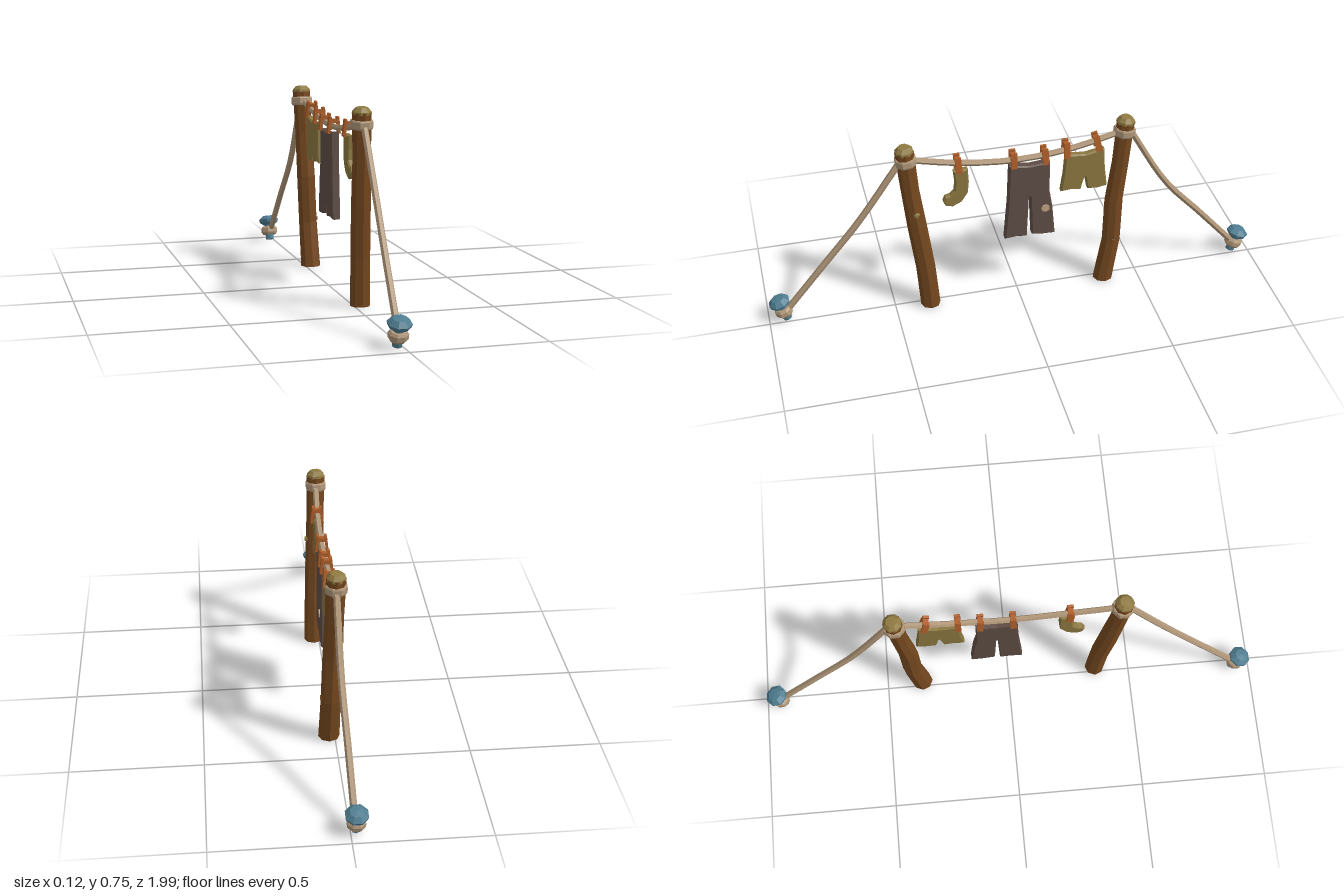
import * as THREE from 'three';

const mat = (name, color) => {
  const m = new THREE.MeshStandardMaterial({ color });
  m.name = name;
  return m;
};

export function createModel() {
  const wood = mat('brown wood', 0x75481f);
  const cutWood = mat('pale cut wood', 0x8f7a42);
  const ropeTan = mat('rope tan', 0xb2987a);
  const blue = mat('peg blue', 0x4f7d90);
  const cloth = mat('olive cloth', 0x8c7840);
  const darkCloth = mat('dark brown cloth', 0x5f4d45);
  const orange = mat('clothespin orange', 0xb05f2a);
  const patchTan = mat('patch tan', 0xc4a284);

  const model = new THREE.Group();
  model.name = 'clothesline';

  // Faceted mesh: every face gets its own normal
  const add = (parent, name, geometry, material) => {
    const g = geometry.index ? geometry.toNonIndexed() : geometry;
    g.computeVertexNormals();
    const mesh = new THREE.Mesh(g, material);
    mesh.name = name;
    parent.add(mesh);
    return mesh;
  };
  const lathe = (pts, sides = 8) =>
    new THREE.LatheGeometry(pts.map(([r, y]) => new THREE.Vector2(r, y)), sides, Math.PI / 8);
  const curve = (pts) => new THREE.CatmullRomCurve3(pts.map((p) => new THREE.Vector3(...p)));

  // Posts: cylinders whose rings follow a crooked path, [x, y, z, radius]
  const post = (name, rings, tilt) => {
    const g = new THREE.CylinderGeometry(1, 1, 1, 8, rings.length - 1);
    const p = g.attributes.position;
    for (let i = 0; i < p.count; i++) {
      const k = Math.round((p.getY(i) + 0.5) * (rings.length - 1));
      const [x, y, z, r] = rings[k];
      p.setXYZ(i, x + p.getX(i) * r, y, z + p.getZ(i) * r);
    }
    add(model, name, g, wood);

    // Bevelled cut top and rope loop, leaning with the post
    const [x, y, z] = rings[rings.length - 1];
    const top = new THREE.Group();
    top.name = name + 'Top';
    top.position.set(x, y, z);
    top.rotation.x = tilt;
    add(top, 'cutTop', lathe([[0.037, -0.004], [0.036, 0.006], [0.022, 0.021], [0, 0.022]]), cutWood);
    add(top, 'ropeLoop', lathe([[0.03, -0.058], [0.04, -0.058], [0.043, -0.051], [0.043, -0.03],
      [0.04, -0.024], [0.03, -0.024]]), ropeTan);
    model.add(top);
  };
  post('frontPost', [[0.022, 0.004, 0.36, 0.039], [0.019, 0.19, 0.373, 0.038],
    [0.013, 0.38, 0.397, 0.038], [0.009, 0.56, 0.418, 0.035], [0.005, 0.732, 0.432, 0.037]], 0.09);
  post('backPost', [[0.022, 0.004, -0.357, 0.041], [0.018, 0.19, -0.387, 0.038],
    [0.012, 0.38, -0.393, 0.038], [0.008, 0.56, -0.415, 0.035], [0.003, 0.732, -0.43, 0.037]], -0.09);

  // Knots in the wood
  const knot = (x, y, z, material) => {
    const g = new THREE.CylinderGeometry(0.008, 0.014, 0.012, 6).rotateZ(-Math.PI / 2);
    add(model, 'woodKnot', g, material).position.set(x, y, z);
  };
  knot(0.047, 0.46, 0.403, cutWood);
  knot(0.052, 0.2, -0.386, wood);

  // Ropes: sagging line and the two stays
  const rope = (name, pts, r) =>
    add(model, name, new THREE.TubeGeometry(curve(pts), 12, r, 6), ropeTan);
  const line = [[0.006, 0.695, 0.43], [0.015, 0.655, 0.23], [0.017, 0.634, 0.02],
    [0.015, 0.648, -0.2], [0.006, 0.695, -0.43]];
  rope('washingLine', line, 0.012);
  rope('frontStay', [[0.008, 0.69, 0.45], [0.003, 0.44, 0.62], [-0.006, 0.265, 0.756], [-0.016, 0.05, 0.925]], 0.013);
  rope('backStay', [[0.004, 0.69, -0.45], [0.001, 0.42, -0.61], [-0.008, 0.235, -0.77], [-0.016, 0.05, -0.93]], 0.013);

  // Ground pegs with faceted heads and a rope wrap
  for (const side of [1, -1]) {
    const peg = new THREE.Group();
    peg.name = side > 0 ? 'frontPeg' : 'backPeg';
    peg.position.set(-0.02, 0.006, side * 0.928);
    peg.rotation.x = side * 0.3;
    add(peg, 'pegShaft', new THREE.CylinderGeometry(0.02, 0.018, 0.08, 8).translate(0, 0.04, 0), blue);
    add(peg, 'pegHead', lathe([[0, 0.066], [0.025, 0.066], [0.041, 0.078], [0.044, 0.09],
      [0.026, 0.107], [0, 0.11]]), blue);
    add(peg, 'ropeWrap', lathe([[0.015, 0.022], [0.029, 0.022], [0.036, 0.032], [0.036, 0.05],
      [0.029, 0.059], [0.015, 0.059]]), ropeTan);
    model.add(peg);
  }

  // Clothes: outlines in (z, y), extruded through x with bevelled edges
  const garment = (name, pts, depth, material) => {
    const bevel = 0.005;
    const g = new THREE.ExtrudeGeometry(new THREE.Shape(pts.map(([z, y]) => new THREE.Vector2(z, y))), {
      depth: depth - 2 * bevel, bevelEnabled: true, bevelSegments: 1,
      bevelSize: bevel, bevelThickness: bevel, bevelOffset: -bevel,
    });
    g.translate(0, 0, bevel - depth / 2).rotateY(-Math.PI / 2).translate(0.017, 0, 0);
    add(model, name, g, material);
  };
  garment('sock', [[0.252, 0.627], [0.247, 0.575], [0.25, 0.535], [0.268, 0.517], [0.286, 0.513],
    [0.295, 0.492], [0.285, 0.472], [0.258, 0.464], [0.222, 0.482], [0.198, 0.52], [0.193, 0.57], [0.196, 0.63]],
  0.026, cloth);
  garment('trousers', [[0.035, 0.617], [0.041, 0.45], [0.055, 0.273], [0.01, 0.278], [-0.034, 0.273],
    [-0.042, 0.46], [-0.047, 0.46], [-0.054, 0.28], [-0.1, 0.272], [-0.148, 0.27],
    [-0.137, 0.4], [-0.124, 0.48], [-0.125, 0.612], [-0.045, 0.605]], 0.034, darkCloth);
  garment('shorts', [[-0.187, 0.63], [-0.181, 0.54], [-0.17, 0.462], [-0.21, 0.466], [-0.25, 0.459],
    [-0.264, 0.515], [-0.268, 0.515], [-0.278, 0.459], [-0.32, 0.456], [-0.357, 0.463],
    [-0.346, 0.55], [-0.341, 0.637], [-0.265, 0.622]], 0.028, cloth);

  // Small patch on a trouser leg
  add(model, 'trouserPatch', new THREE.CylinderGeometry(0.017, 0.017, 0.006, 7).rotateZ(-Math.PI / 2), patchTan)
    .position.set(0.036, 0.4, -0.107);

  // Clothespins: two splayed legs joined over the line, [z, y, lean]
  for (const [z, y, lean] of [[0.233, 0.655, 0.05], [0.018, 0.64, 0], [-0.106, 0.64, 0.06],
    [-0.19, 0.655, 0], [-0.312, 0.668, 0.22]]) {
    const pin = new THREE.Group();
    pin.name = 'clothespin';
    pin.position.set(0.016, y, z);
    pin.rotation.x = lean;
    for (const s of [1, -1]) {
      const leg = add(pin, 'pinLeg', new THREE.BoxGeometry(0.01, 0.066, 0.024), orange);
      leg.position.x = s * 0.018;
      leg.rotation.z = s * 0.1;
    }
    add(pin, 'pinBridge', new THREE.BoxGeometry(0.032, 0.016, 0.02), orange).position.y = 0.016;
    model.add(pin);
  }

  return model;
}
